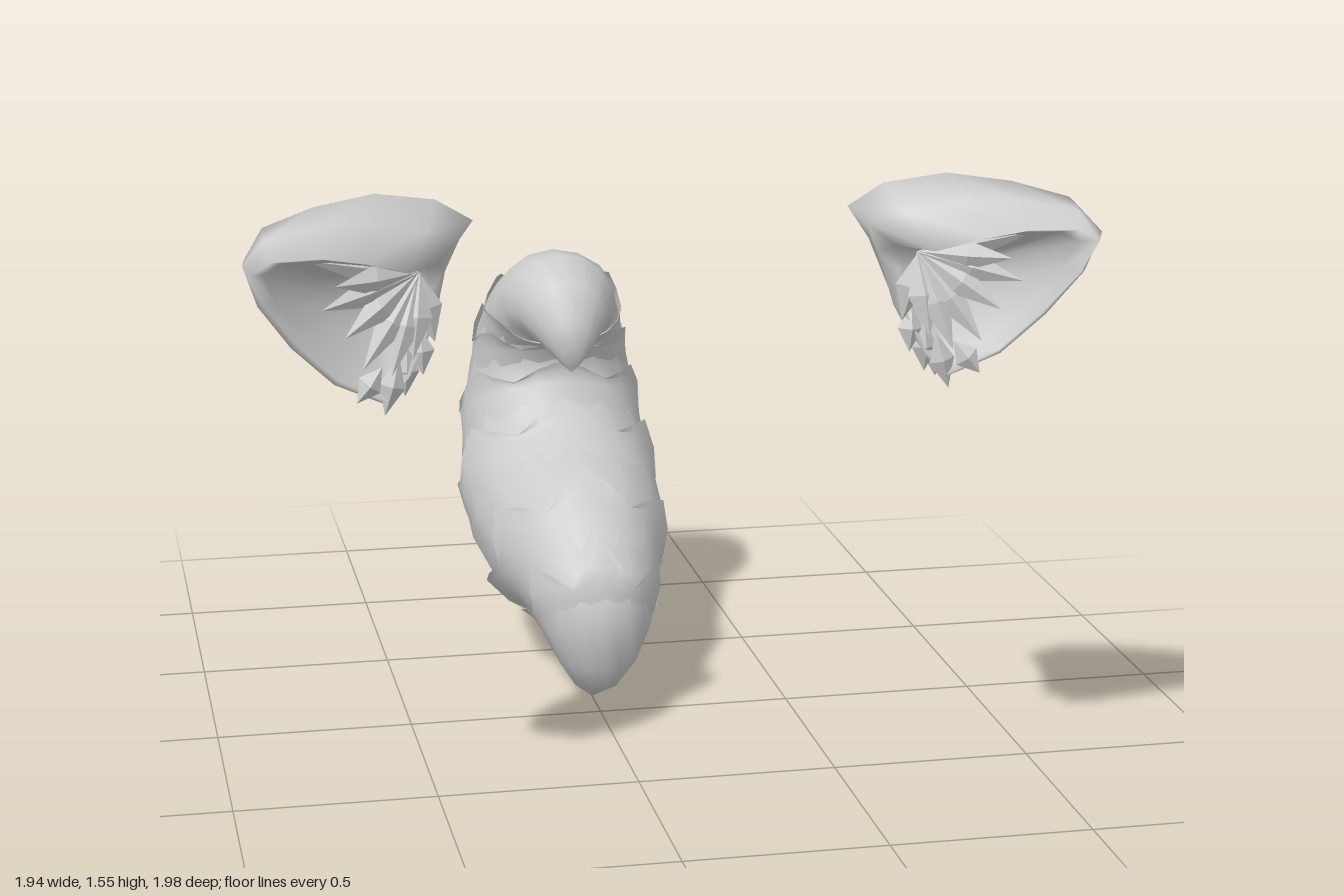
import * as THREE from 'three';
import { mergeVertices } from 'three/addons/utils/BufferGeometryUtils.js';

const fur = new THREE.MeshStandardMaterial({ color: 0xcccccc, side: THREE.DoubleSide });
fur.name = 'grey fur';

// Skins a list of equally long rings of Vector3; closed around each ring.
function loft(rings) {
  const n = rings[0].length, pos = [], idx = [];
  rings.forEach(r => r.forEach(p => pos.push(p.x, p.y, p.z)));
  for (let i = 0; i < rings.length - 1; i++) {
    for (let j = 0; j < n; j++) {
      const k = (j + 1) % n, a = i * n + j, b = i * n + k, c = a + n, d = b + n;
      idx.push(a, b, c, b, d, c);
    }
  }
  let g = new THREE.BufferGeometry();
  g.setAttribute('position', new THREE.Float32BufferAttribute(pos, 3));
  g.setIndex(idx);
  g = mergeVertices(g, 1e-4);
  g.computeVertexNormals();
  return g;
}

function mesh(name, geometry) {
  const m = new THREE.Mesh(geometry, fur);
  m.name = name;
  return m;
}

// Tail sections: upper edge z, y, lower edge z, y, half width
const sections = [
  [-0.12, 0.0, -0.12, 0.0, 0], [0.0, 0.06, -0.13, 0.06, 0.06], [0.065, 0.14, -0.145, 0.11, 0.1],
  [0.085, 0.28, -0.17, 0.14, 0.14], [0.04, 0.4, -0.22, 0.16, 0.165], [-0.1, 0.5, -0.33, 0.145, 0.2],
  [-0.22, 0.57, -0.47, 0.125, 0.24], [-0.36, 0.605, -0.62, 0.16, 0.262], [-0.47, 0.645, -0.78, 0.25, 0.265],
  [-0.55, 0.71, -0.89, 0.375, 0.255], [-0.585, 0.77, -0.955, 0.53, 0.24], [-0.585, 0.82, -0.97, 0.7, 0.22],
  [-0.57, 0.85, -0.93, 0.87, 0.2], [-0.545, 0.865, -0.84, 1.01, 0.18], [-0.52, 0.865, -0.7, 1.09, 0.16],
  [-0.49, 0.862, -0.56, 1.105, 0.135], [-0.46, 0.85, -0.45, 1.05, 0.1], [-0.43, 0.835, -0.39, 0.96, 0.06],
  [-0.415, 0.825, -0.388, 0.88, 0.03], [-0.41, 0.815, -0.41, 0.815, 0],
];

// Point on the tail skin at section t and angle a, scaled about the section centre
function tailPoint(t, a, scale = 1) {
  const i = Math.min(Math.floor(t), sections.length - 2), f = t - i;
  const [uz, uy, lz, ly, w] = sections[i].map((v, k) => v + (sections[i + 1][k] - v) * f);
  const c = Math.cos(a) * scale;
  return new THREE.Vector3(w * Math.sin(a) * scale,
    (uy + ly) / 2 + (uy - ly) / 2 * c, (uz + lz) / 2 + (uz - lz) / 2 * c);
}

function makeTail() {
  const tail = new THREE.Group();
  tail.name = 'tail';
  const angles = n => Array.from({ length: n }, (_, j) => j / n * Math.PI * 2);
  tail.add(mesh('tailBody', loft(sections.map((_, i) => angles(14).map(a => tailPoint(i, a))))));
  // Overlapping collars of fur with a zigzag hem
  [4.5, 6.2, 8.8, 10.6, 12.5, 13.7].forEach(end => {
    const point = (a, back, reach, scale) => {
      const peak = Math.abs(((a / (Math.PI * 2) * 6 + 0.5) % 1) - 0.5) * 2;
      return tailPoint(end - back - reach * peak, a, scale - 0.05 * peak * reach);
    };
    const rows = [[1.9, 0, 0.97], [1.0, 0, 1.02], [0.5, 0.3, 1.05], [0, 0.85, 1.09]];
    tail.add(mesh('tailFurCollar', loft(rows.map(r => angles(24).map(a => point(a, ...r))))));
  });
  return tail;
}

// A folded, pointed lock of hair from root to tip
function lock(root, tip, width) {
  const p = new THREE.Vector3(...root), q = new THREE.Vector3(...tip);
  const side = q.clone().sub(p).cross(new THREE.Vector3(0, 0, 1)).setLength(width);
  const mid = p.clone().lerp(q, 0.5);
  const ridge = mid.clone().add(new THREE.Vector3(0, 0, 0.018));
  const l = mid.clone().sub(side), r = mid.clone().add(side);
  const g = new THREE.BufferGeometry().setFromPoints(
    [p, r, ridge, p, ridge, l, q, ridge, r, q, l, ridge]);
  g.computeVertexNormals();
  return mesh('earHairLock', g);
}

function makeEar() {
  const ear = new THREE.Group();
  const v = list => list.map(p => new THREE.Vector3(...p));
  // Widest outline of the cup, and the rim of its opening
  const outline = v([[0.965, 1.45, 0.93], [0.92, 1.51, 0.88], [0.8, 1.54, 0.82], [0.66, 1.555, 0.77],
    [0.52, 1.53, 0.735], [0.435, 1.48, 0.74], [0.49, 1.4, 0.73], [0.535, 1.28, 0.76],
    [0.6, 1.15, 0.79], [0.66, 1.1, 0.81], [0.77, 1.16, 0.86], [0.86, 1.25, 0.89], [0.93, 1.35, 0.93]]);
  const rim = v([[0.955, 1.43, 0.995], [0.91, 1.455, 0.985], [0.8, 1.455, 0.97], [0.7, 1.435, 0.95],
    [0.6, 1.4, 0.9], [0.53, 1.4, 0.82], [0.54, 1.34, 0.81], [0.555, 1.24, 0.83],
    [0.6, 1.15, 0.85], [0.65, 1.1, 0.86], [0.76, 1.16, 0.89], [0.85, 1.25, 0.92], [0.925, 1.35, 0.96]]);
  const back = new THREE.Vector3(0.62, 1.38, 0.668), inside = new THREE.Vector3(0.7, 1.34, 0.79);
  const toward = (ring, c, f, dz) => ring.map(p => {
    const q = p.clone().lerp(c, f);
    q.z += dz;
    return q;
  });
  // Crown between outline and rim bulges a little
  const crown = outline.map((p, j) => p.clone().lerp(rim[j], 0.5)
    .add(p.clone().sub(inside).setZ(0).setLength(0.012)));
  ear.add(mesh('earCup', loft([
    toward(outline, back, 1, 0), toward(outline, back, 0.5, -0.03), outline, crown, rim,
    toward(rim, inside, 0.12, -0.03), toward(rim, inside, 0.6, -0.03), toward(rim, inside, 1, 0)])));
  // Hair fanning out of the inner edge
  [[0.83, 1.44, 0.91], [0.77, 1.385, 0.94], [0.8, 1.33, 0.93], [0.75, 1.265, 0.93], [0.71, 1.19, 0.92],
    [0.645, 1.17, 0.91], [0.595, 1.2, 0.89], [0.54, 1.23, 0.85]]
    .forEach((tip, i) => ear.add(lock([0.57 + 0.005 * (i % 2), 1.39, 0.85], tip, 0.036)));
  // Ragged hair at the root of the ear
  [[[0.62, 1.2, 0.85], [0.655, 1.065, 0.85]], [[0.66, 1.18, 0.86], [0.72, 1.105, 0.88]],
    [[0.6, 1.22, 0.83], [0.605, 1.1, 0.82]], [[0.57, 1.26, 0.82], [0.565, 1.15, 0.83]],
    [[0.64, 1.18, 0.8], [0.64, 1.08, 0.79]]]
    .forEach(([root, tip]) => ear.add(lock(root, tip, 0.03)));
  return ear;
}

export function createModel() {
  const model = new THREE.Group();
  model.name = 'earsAndTail';
  const leftEar = makeEar();
  leftEar.name = 'leftEar';
  const rightEar = makeEar();
  rightEar.name = 'rightEar';
  rightEar.scale.x = -1;
  model.add(makeTail(), leftEar, rightEar);
  return model;
}
